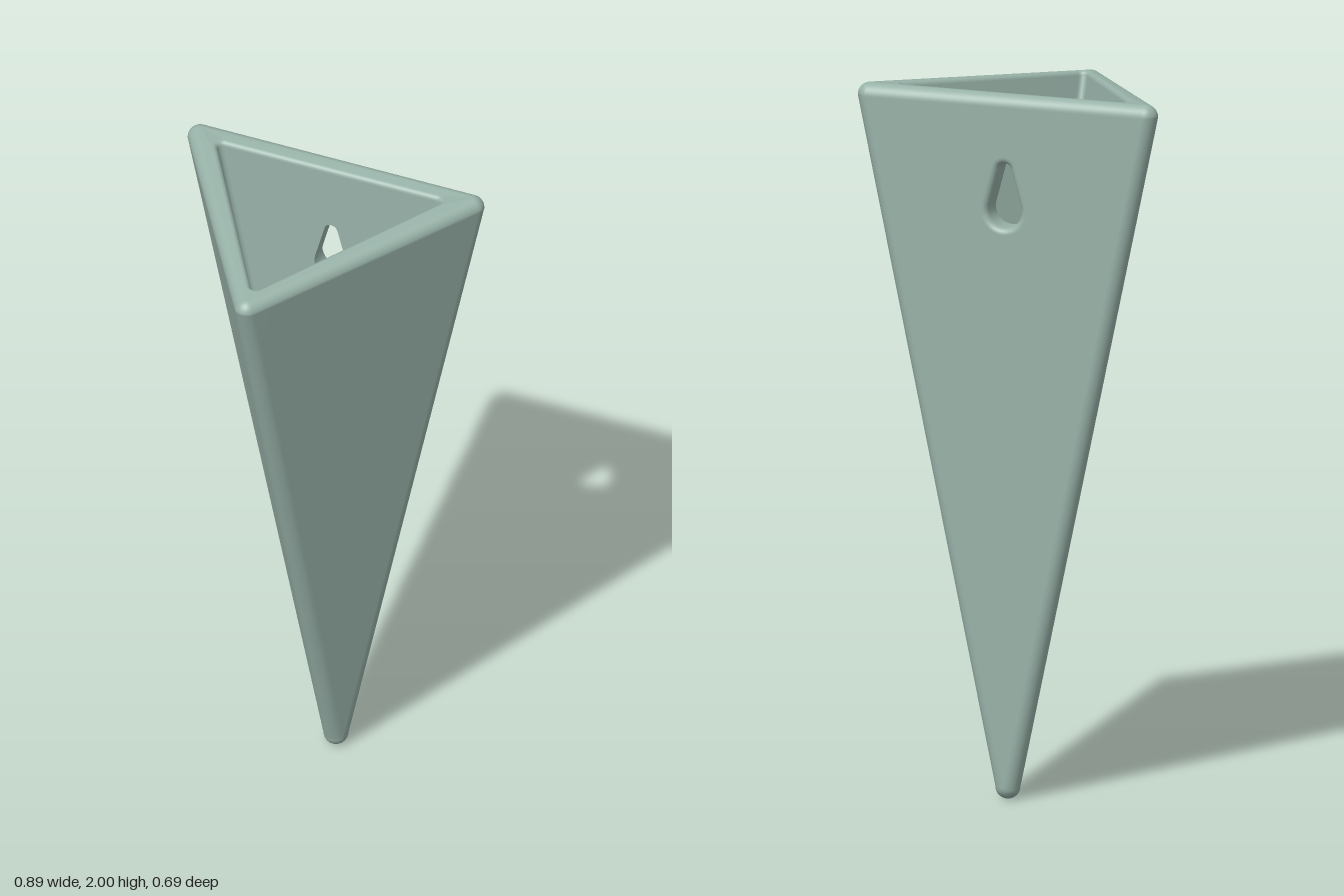
import * as THREE from 'three';

const R = 0.035;      // outer edge rounding
const r = 0.015;      // cavity edge rounding
const HALF = Math.PI / 2;
const ALPHA = Math.atan2(0.475, 0.748); // direction of the slanted side walls
const BACK_OUT = -0.355, BACK_IN = -0.285;
const ARC = 10;

// Skins a list of closed rings; spans listed in openSpans leave the back strip empty
function loft(rings, openSpans = []) {
  const n = rings[0].length, pos = rings.flat().flat(), index = [];
  for (let i = 0; i < rings.length - 1; i++) {
    for (let j = 0; j < n; j++) {
      if (j === n - 1 && openSpans.includes(i)) continue;
      const k = (j + 1) % n;
      const a = i * n + j, b = i * n + k, c = a + n, d = b + n;
      index.push(a, c, b, b, c, d);
    }
  }
  const g = new THREE.BufferGeometry();
  g.setAttribute('position', new THREE.Float32BufferAttribute(pos, 3));
  g.setIndex(index);
  g.computeVertexNormals();
  return g;
}

const lipY = z => 1.965 - 0.09 * (z + 0.32); // the rim slopes down to the front

// Rounded triangle: core triangle (half width w, back zb, front zf) grown by radius rad
function section(core, t, rad, dy) {
  const { w, zb, zf, y0, lift } = core;
  const mix = (a, b) => a + (b - a) * t;
  const corners = [
    [w * t, zb, -HALF, ALPHA],
    [0, mix(zb, zf), ALPHA, Math.PI - ALPHA],
    [-w * t, zb, Math.PI - ALPHA, 3 * HALF],
  ];
  const ring = [];
  corners.forEach(([x, z, a0, a1], c) => {
    const y = mix(y0, lipY(c === 1 ? zf : zb) + lift) + dy;
    for (let i = 0; i <= ARC; i++) {
      const a = a0 + (a1 - a0) * i / ARC;
      ring.push([x + rad * Math.cos(a), y, z + rad * Math.sin(a)]);
    }
  });
  return ring;
}

// Keyhole outline: a small circle above a large one, joined by tangents
function keyhole(grow) {
  const yBig = 1.672, ySmall = 1.785, big = 0.05, small = 0.02;
  const phi = Math.asin((big - small) / (ySmall - yBig));
  const pts = [];
  const arc = (cy, rad, a0, a1) => {
    for (let i = 0; i <= 16; i++) {
      const a = a0 + (a1 - a0) * i / 16;
      pts.push([(rad + grow) * Math.cos(a), cy + (rad + grow) * Math.sin(a)]);
    }
  };
  arc(ySmall, small, phi, Math.PI - phi);
  arc(yBig, big, Math.PI - phi, 2 * Math.PI + phi);
  return pts;
}

// Flat triangular wall panel pierced by the keyhole
function panel(w, yTop, yTip, grow) {
  const s = new THREE.Shape([[-w, yTop], [0, yTip], [w, yTop]].map(p => new THREE.Vector2(...p)));
  s.holes.push(new THREE.Path(keyhole(grow).map(p => new THREE.Vector2(...p))));
  return new THREE.ShapeGeometry(s);
}

export function createModel() {
  const group = new THREE.Group();
  const glaze = new THREE.MeshStandardMaterial({ color: 0x98b2a8 });
  glaze.name = 'sage green';
  const add = (name, geometry) => {
    const m = new THREE.Mesh(geometry, glaze);
    m.name = name;
    group.add(m);
    return m;
  };

  const outer = { w: 0.411, zb: BACK_OUT + R, zf: 0.297, y0: R, lift: 0 };
  const inner = { w: 0.32, zb: BACK_IN - 0 + r, zf: 0.234, y0: 0.45, lift: R - r };
  const S = 8, rings = [], open = [];
  const quarter = f => { for (let i = 0; i <= S; i++) f(i / S * HALF); };

  // Rounded tip, tapering walls and rounded outer rim
  quarter(a => rings.push(section(outer, 0, R * Math.sin(a), -R * Math.cos(a))));
  open.push(rings.length - 1);
  quarter(a => rings.push(section(outer, 1, R * Math.cos(a), R * Math.sin(a))));
  // Flat lip, rounded inner rim, cavity walls and rounded cavity bottom
  quarter(a => rings.push(section(inner, 1, 2 * r - r * Math.sin(a), r * Math.cos(a))));
  open.push(rings.length - 1);
  quarter(a => rings.push(section(inner, 0, r * Math.cos(a), -r * Math.sin(a))));
  add('planterShell', loft(rings, open));

  // Back wall, outside and inside
  const flare = 0.018;
  add('backWallOutside', panel(outer.w, lipY(outer.zb), outer.y0, flare)
    .rotateY(Math.PI).translate(0, 0, BACK_OUT));
  add('backWallInside', panel(inner.w, lipY(inner.zb) + inner.lift, inner.y0, 0)
    .translate(0, 0, BACK_IN));

  // Keyhole lining with a softened outer edge
  const lining = [];
  const ringAt = (grow, z) => lining.push(keyhole(grow).map(([x, y]) => [x, y, z]));
  quarter(a => ringAt(flare * (1 - Math.sin(a)), BACK_OUT + flare * (1 - Math.cos(a))));
  ringAt(0, BACK_IN);
  add('keyholeLining', loft(lining));

  return group;
}
